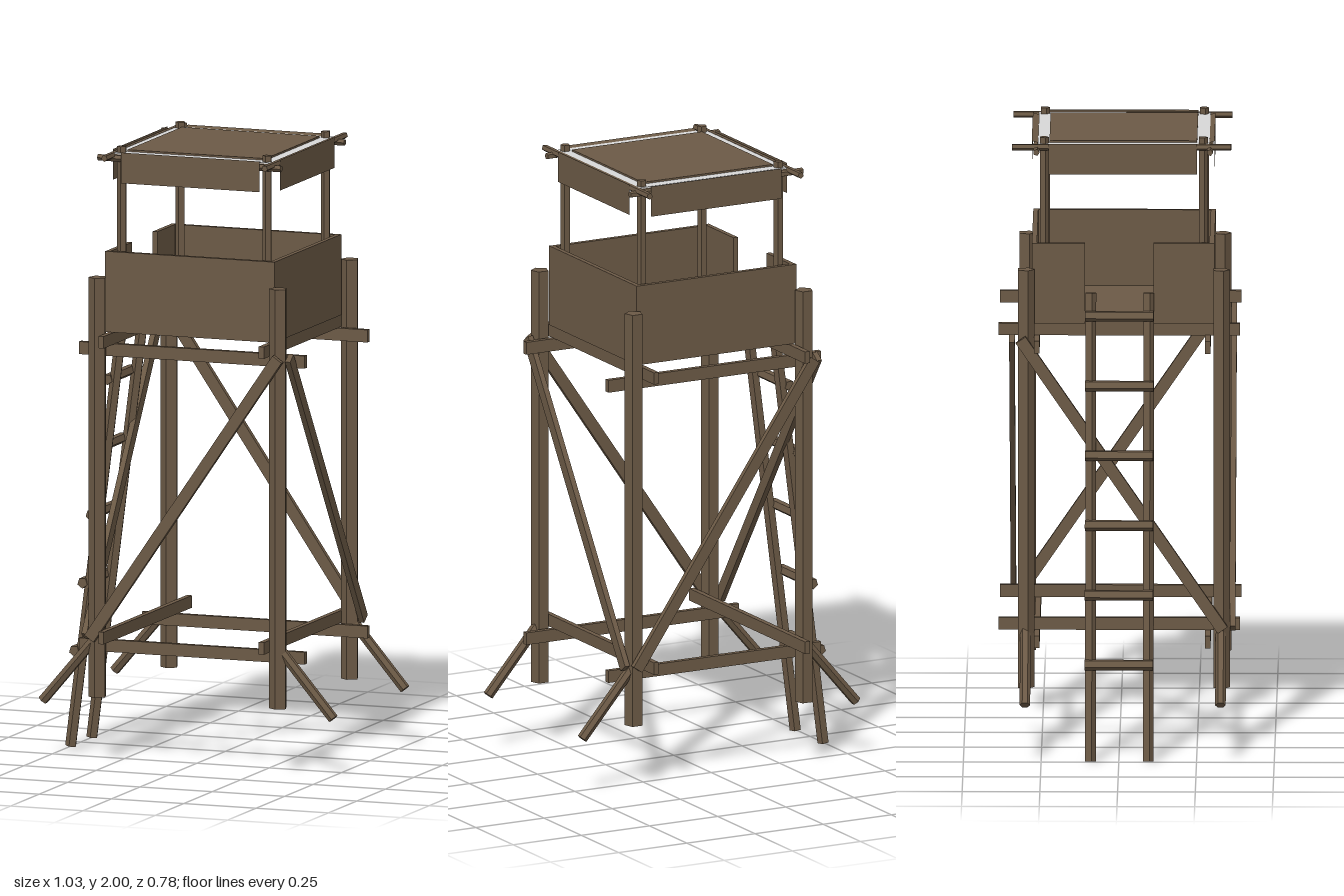
import * as THREE from 'three';

const wood = new THREE.MeshStandardMaterial({ color: 0x6c5a46, flatShading: true });
wood.name = 'brown wood';
const cloth = new THREE.MeshStandardMaterial({ color: 0x6c5a46, side: THREE.DoubleSide });
cloth.name = 'brown cloth';
const trim = new THREE.MeshStandardMaterial({ color: 0xd8d8d8, side: THREE.DoubleSide });
trim.name = 'pale grey trim';
const V = (x, y, z) => new THREE.Vector3(x, y, z);

export function createModel() {
  const tower = new THREE.Group();
  tower.name = 'watchtower';

  const add = (name, geometry, material = wood) => {
    const mesh = new THREE.Mesh(geometry, material);
    mesh.name = name;
    tower.add(mesh);
    return mesh;
  };
  // Box given by its two corners
  const box = (name, x0, x1, y0, y1, z0, z1, material) => {
    const mesh = add(name, new THREE.BoxGeometry(x1 - x0, y1 - y0, z1 - z0), material);
    mesh.position.set((x0 + x1) / 2, (y0 + y1) / 2, (z0 + z1) / 2);
  };
  // Round-ish pole between two points
  const pole = (name, a, b, radius, sides = 5) => {
    const mesh = add(name, new THREE.CylinderGeometry(radius, radius, a.distanceTo(b), sides));
    mesh.position.copy(a).lerp(b, 0.5);
    mesh.quaternion.setFromUnitVectors(V(0, 1, 0), b.clone().sub(a).normalize());
  };
  // Four-cornered sheet
  const sheet = (name, a, b, c, d, material) => {
    const g = new THREE.BufferGeometry().setFromPoints([a, b, c, a, c, d]);
    g.computeVertexNormals();
    add(name, g, material);
  };

  // Main legs with slanted ground struts
  for (const s of [-1, 1]) {
    for (const z of [-0.302, 0.327]) {
      pole('leg', V(s * 0.312, 0.21, z), V(s * 0.312, 1.578, z), 0.03);
      pole('groundStrut', V(s * 0.32, 0.4, z), V(s * 0.502, 0.187, z), 0.017, 6);
    }
  }

  // Horizontal beams, upper and lower
  for (const z of [-0.265, 0.285]) {
    box('upperCrossBeam', -0.39, 0.39, 1.317, 1.358, z - 0.009, z + 0.009);
    box('lowerCrossBeam', -0.39, 0.39, 0.352, 0.392, z - 0.009, z + 0.009);
  }
  for (const x of [-0.277, 0.277]) {
    box('upperSideBeam', x - 0.009, x + 0.009, 1.357, 1.396, -0.388, 0.388);
    box('lowerSideBeam', x - 0.009, x + 0.009, 0.392, 0.432, -0.388, 0.388);
  }

  // One diagonal brace on each side of the tower
  const braceLength = Math.hypot(0.65, 0.95);
  const braceAngle = Math.atan2(0.65, 0.95);
  for (const s of [-1, 1]) {
    const flat = add('diagonalBrace', new THREE.BoxGeometry(0.038, braceLength, 0.018));
    flat.position.set(0, 0.88, 0.01 + s * 0.355);
    flat.rotation.z = -s * braceAngle;
    const side = add('sideDiagonalBrace', new THREE.BoxGeometry(0.018, braceLength, 0.038));
    side.position.set(s * 0.352, 0.88, 0.008);
    side.rotation.x = s * braceAngle;
  }

  // Cabin: floor, three full walls and a gap for the ladder
  box('floor', -0.29, 0.285, 1.397, 1.412, -0.275, 0.3);
  box('frontWall', -0.295, 0.29, 1.397, 1.66, 0.29, 0.306);
  box('backWall', -0.295, 0.29, 1.397, 1.66, -0.281, -0.265);
  box('leftWall', 0.274, 0.29, 1.397, 1.66, -0.265, 0.29);
  box('entryWallBack', -0.295, -0.279, 1.397, 1.66, -0.265, -0.11);
  box('entryWallFront', -0.295, -0.279, 1.397, 1.66, 0.11, 0.29);

  // Roof posts and poles
  for (const x of [-0.251, 0.251]) {
    for (const z of [-0.243, 0.269]) pole('roofPost', V(x, 1.41, z), V(x, 2, z), 0.016);
  }
  for (const x of [-0.277, 0.277]) {
    pole('roofSidePole', V(x, 1.972, -0.345), V(x, 1.972, 0.36), 0.011);
  }
  for (const z of [-0.267, 0.291]) {
    pole('roofCrossPole', V(-0.325, 1.963, z), V(0.308, 1.963, z), 0.011);
  }

  // Roof cover with pale border
  box('roofUnderside', -0.27, 0.268, 1.97, 1.976, -0.26, 0.287);
  box('roofBorder', -0.278, 0.27, 1.976, 1.98, -0.262, 0.29, trim);
  box('roofCover', -0.24, 0.237, 1.98, 1.986, -0.225, 0.25);

  // Hanging flaps on all four sides
  for (const [z, s] of [[0.294, 1], [-0.27, -1]]) {
    const z1 = z + s * 0.012;
    sheet('roofFlap', V(-0.24, 1.885, z1), V(0.238, 1.885, z1),
      V(0.238, 1.985, z1), V(-0.24, 1.985, z1), cloth);
    sheet('flapFold', V(-0.24, 1.985, z1), V(0.238, 1.985, z1),
      V(0.238, 1.978, z - s * 0.01), V(-0.24, 1.978, z - s * 0.01), cloth);
  }
  for (const x of [-0.29, 0.288]) {
    sheet('roofSideFlap', V(x, 1.885, 0.25), V(x, 1.885, -0.228),
      V(x, 1.985, -0.228), V(x, 1.985, 0.25), cloth);
  }

  // Leaning ladder
  for (const s of [-1, 1]) {
    pole('ladderRail', V(-0.497, 0.002, s * 0.093), V(-0.305, 1.5, s * 0.093), 0.019);
  }
  for (let i = 0; i < 6; i++) {
    const y = 0.315 + i * 0.223;
    const x = -0.48 + i * 0.0286;
    pole('ladderRung', V(x, y, -0.11), V(x, y, 0.11), 0.018);
  }

  return tower;
}
